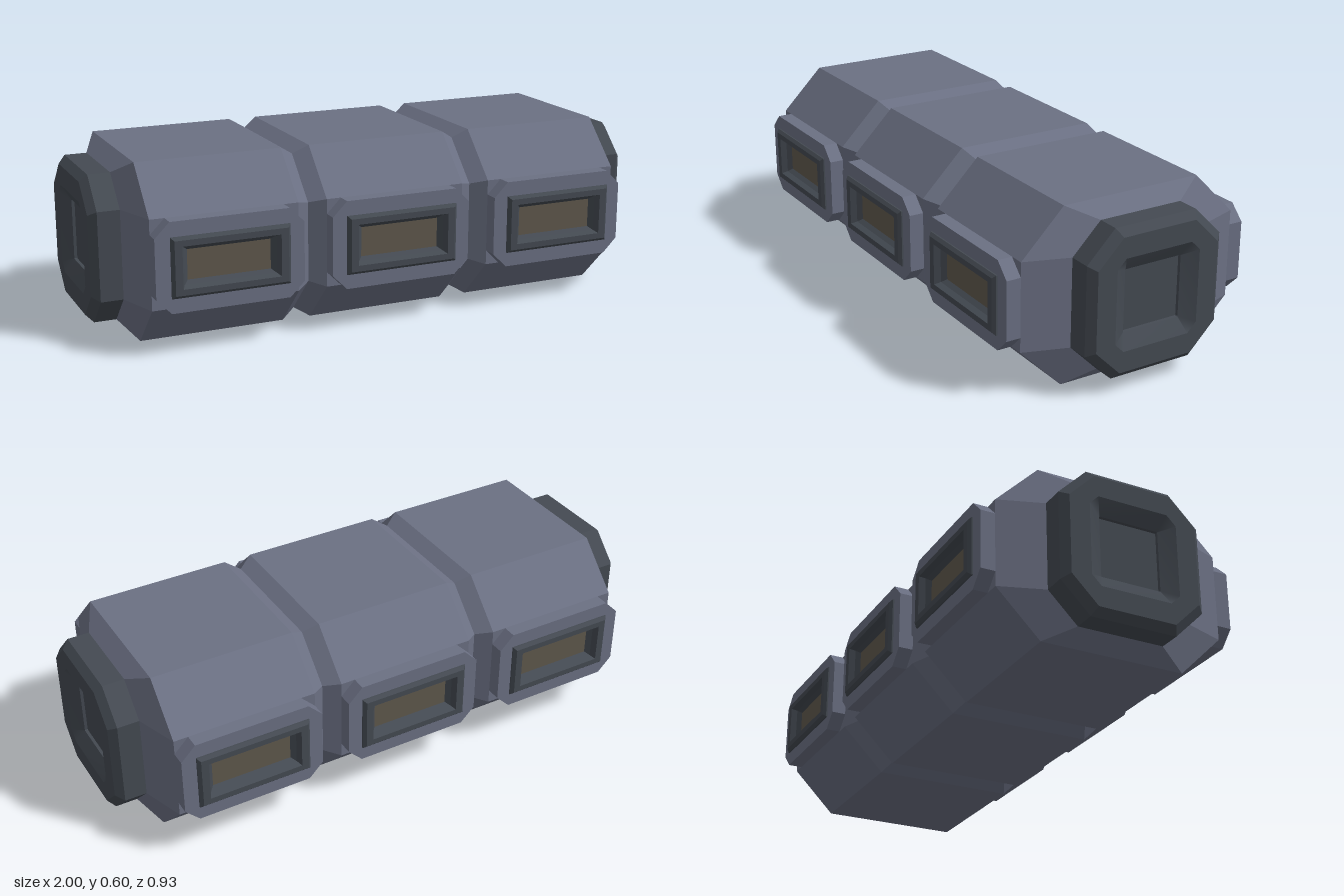
import * as THREE from 'three';

// Rectangle ring with cut corners at depth w (counter-clockwise); cut 0 gives 4 points
function ring(a, b, cut, w) {
  const p = cut === 0
    ? [[a, -b], [a, b], [-a, b], [-a, -b]]
    : [[a - cut, -b], [a, -b + cut], [a, b - cut], [a - cut, b],
      [-a + cut, b], [-a, b - cut], [-a, -b + cut], [-a + cut, -b]];
  return p.map(([x, y]) => new THREE.Vector3(x, y, w));
}

// Skin over successive rings, optionally closed at the last one
function loft(rings, { smooth = false, close = false } = {}) {
  const n = rings[0].length;
  const pos = [], idx = [];
  rings.forEach(r => r.forEach(p => pos.push(p.x, p.y, p.z)));
  for (let k = 0; k < rings.length - 1; k++) {
    for (let i = 0; i < n; i++) {
      const j = (i + 1) % n, a = k * n, b = a + n;
      idx.push(a + i, a + j, b + j, a + i, b + j, b + i);
    }
  }
  if (close) {
    const e = (rings.length - 1) * n;
    for (let i = 1; i < n - 1; i++) idx.push(e, e + i, e + i + 1);
  }
  let g = new THREE.BufferGeometry();
  g.setAttribute('position', new THREE.Float32BufferAttribute(pos, 3));
  g.setIndex(idx);
  if (!smooth) g = g.toNonIndexed();
  g.computeVertexNormals();
  return g;
}

export function createModel() {
  const model = new THREE.Group();
  model.name = 'habitatModule';

  const mat = (name, color) => {
    const m = new THREE.MeshStandardMaterial({ color });
    m.name = name;
    return m;
  };
  const hull = mat('hullGrey', 0x6b7083);
  const dark = mat('darkMetal', 0x444a52);
  const glass = mat('windowGlass', 0x5f584c);

  const add = (parent, name, geometry, material) => {
    const m = new THREE.Mesh(geometry, material);
    m.name = name;
    parent.add(m);
    return m;
  };

  // Hull: three octagonal segments with pinched grooves and tapered ends
  const full = w => ring(0.4, 0.3, 0.15, w);
  const groove = w => ring(0.36, 0.27, 0.135, w);
  const tip = w => ring(0.25, 0.25, 0.1, w);
  const hullMesh = add(model, 'hull', loft([
    tip(-0.9), full(-0.85), full(-0.35), groove(-0.3), full(-0.25),
    full(0.25), groove(0.3), full(0.35), full(0.85), tip(0.9),
  ]), hull);
  hullMesh.rotation.y = Math.PI / 2;
  hullMesh.position.y = 0.3;

  // End docks: chamfered collar with a softly dished centre
  const collar = loft([
    tip(0.9), tip(0.975), ring(0.225, 0.225, 0.09, 1), ring(0.155, 0.155, 0.032, 1),
  ]);
  const dish = loft([
    ring(0.155, 0.155, 0.032, 1), ring(0.105, 0.105, 0.002, 0.97),
  ], { smooth: true });
  const floor = loft([
    ring(0.105, 0.105, 0.002, 0.97), ring(0.104, 0.104, 0.002, 0.96),
  ], { close: true });
  for (const s of [1, -1]) {
    const dock = new THREE.Group();
    dock.name = s > 0 ? 'leftDock' : 'rightDock';
    dock.rotation.y = s * Math.PI / 2;
    dock.position.y = 0.3;
    add(dock, 'dockCollar', collar, dark);
    add(dock, 'dockDish', dish, dark);
    add(dock, 'dockHatch', floor, dark);
    model.add(dock);
  }

  // Windows: cut-corner plate, bevelled frame and recessed pane
  const plate = loft([
    ring(0.25, 0.15, 0.05, 0.4), ring(0.25, 0.15, 0.05, 0.45), ring(0.19, 0.09, 0.004, 0.45),
  ]);
  const frame = loft([
    ring(0.2, 0.1, 0, 0.45), ring(0.2, 0.1, 0, 0.455), ring(0.19, 0.09, 0, 0.465),
    ring(0.165, 0.07, 0, 0.465), ring(0.155, 0.062, 0, 0.445), ring(0.14, 0.05, 0, 0.43),
  ]);
  const pane = new THREE.PlaneGeometry(0.28, 0.1).translate(0, 0, 0.43);
  for (const s of [1, -1]) {
    for (const x of [-0.6, 0, 0.6]) {
      const win = new THREE.Group();
      win.name = s > 0 ? 'frontWindow' : 'backWindow';
      win.position.set(x, 0.3, 0);
      if (s < 0) win.rotation.y = Math.PI;
      add(win, 'windowPlate', plate, hull);
      add(win, 'windowFrame', frame, dark);
      add(win, 'windowPane', pane, glass);
      model.add(win);
    }
  }
  return model;
}
